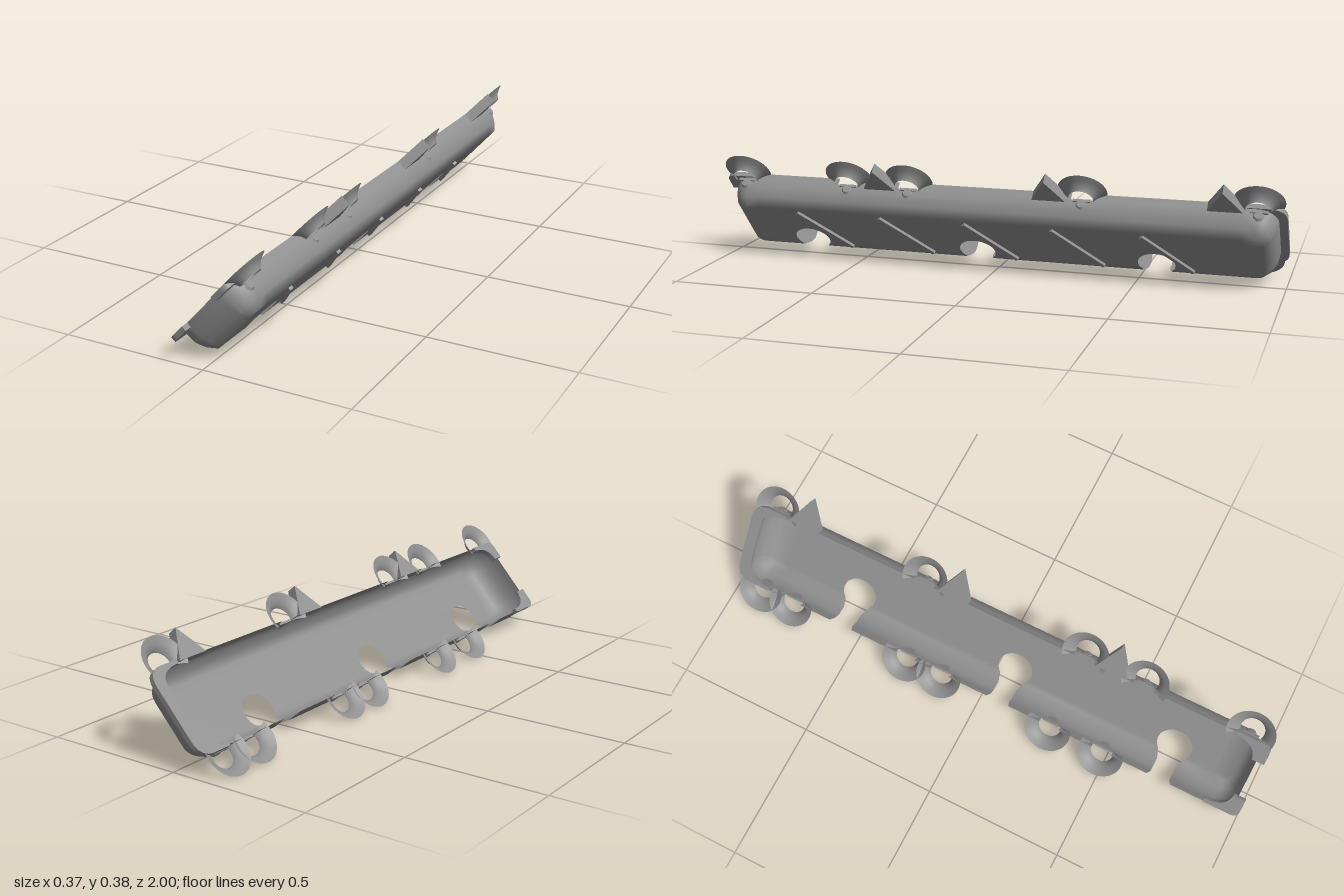
import * as THREE from 'three';
import { toCreasedNormals } from 'three/addons/utils/BufferGeometryUtils.js';

const material = new THREE.MeshStandardMaterial({ color: 0x909090, side: THREE.DoubleSide });

// Local frame of the tray: x across, y out of the opening, z along the length
const HALF = 0.151, DEPTH = 0.116, CAP = 0.86;
const KEYHOLES = [0.7, 0.072, -0.565];
const UPPER_RINGS = [0.915, 0.525, 0.3, -0.32, -0.91];
const LOWER_RINGS = [0.48, 0.275, -0.16, -0.3, -0.77, -0.895];

function add(parent, name, geometry, x = 0, y = 0, z = 0) {
  const mesh = new THREE.Mesh(geometry, material);
  mesh.name = name;
  mesh.position.set(x, y, z);
  parent.add(mesh);
  return mesh;
}

function quad(out, a, b, c, d) {
  out.push(...a, ...b, ...c, ...a, ...c, ...d);
}

// Flat plate drawn in x and z, hanging down from y = 0
function plate(shape, thickness) {
  const g = new THREE.ExtrudeGeometry(shape, { depth: thickness, bevelEnabled: false, curveSegments: 8 });
  return g.rotateX(Math.PI / 2);
}

// Walls and floor: strips along z, interrupted by keyholes and ring slots
function addWalls(out) {
  const floor = [0.109, 0.08, 0, -0.008, -0.01, -0.014, -0.022, -0.035, -0.05, -0.068, -0.09, -0.109];
  const rows = [[HALF, 0], [HALF, -0.025], [HALF, -0.06], [0.132, -0.089],
    ...floor.map(x => [x, -DEPTH]),
    [-0.132, -0.089], [-HALF, -0.06], [-HALF, -0.025], [-HALF, 0]];
  const keyHalf = ([x, y]) => {
    if (y > -0.01) return 0.045;
    if (y > -0.1) return 0.036;
    return 0.065 * Math.sqrt(Math.max(0, 1 - ((x + 0.068) / 0.06) ** 2));
  };
  for (let i = 0; i < rows.length - 1; i++) {
    const a = rows[i], b = rows[i + 1];
    const cuts = [];
    if (a[0] <= -0.008) KEYHOLES.forEach(z => cuts.push([z, keyHalf(a), keyHalf(b)]));
    if (Math.min(a[1], b[1]) > -0.03) {
      (a[0] > 0 ? UPPER_RINGS : LOWER_RINGS)
        .filter(z => Math.abs(z) < 0.82)
        .forEach(z => cuts.push([z, 0.038, 0.038]));
    }
    cuts.sort((p, q) => p[0] - q[0]);
    let za = -CAP, zb = -CAP;
    for (const [z, ha, hb] of [...cuts, [CAP, 0, 0]]) {
      quad(out, [...a, za], [...a, z - ha], [...b, z - hb], [...b, zb]);
      za = z + ha;
      zb = z + hb;
    }
  }
}

// Rounded end: stacked rounded outlines closed onto the floor (sign: 1 front, -1 back)
function addEnd(out, sign) {
  const outline = (y, w, end) => {
    const r = w - 0.08, side = [[w, y, CAP]];
    for (let k = 0; k <= 8; k++) {
      const t = k / 8 * Math.PI / 2;
      side.push([0.08 + r * Math.cos(t), y, end - r + r * Math.sin(t)]);
    }
    const points = [...side, ...side.map(([x, h, z]) => [-x, h, z]).reverse()];
    return points.map(([x, h, z]) => [x, h, z * sign]);
  };
  const levels = [outline(0, HALF, 0.972), outline(-0.025, HALF, 0.972), outline(-0.06, HALF, 0.967),
    outline(-0.089, 0.132, 0.955), outline(-DEPTH, 0.109, 0.93)];
  levels.push(levels[4].map(([x, y]) => [x, y, CAP * sign]));
  for (let i = 0; i < levels.length - 1; i++)
    for (let j = 0; j < levels[i].length - 1; j++) {
      const a = levels[i][j], b = levels[i][j + 1], c = levels[i + 1][j + 1], d = levels[i + 1][j];
      if (sign > 0) quad(out, a, d, c, b);
      else quad(out, a, b, c, d);
    }
}

// Whole trough as one smooth shell
function troughGeometry() {
  const out = [];
  addWalls(out);
  addEnd(out, 1);
  addEnd(out, -1);
  // face the shell outwards
  for (let i = 0; i < out.length; i += 9) {
    const n = new THREE.Triangle(...[0, 3, 6].map(k => new THREE.Vector3().fromArray(out, i + k)))
      .getNormal(new THREE.Vector3());
    const outward = n.x * out[i] + n.y * (out[i + 1] + 0.02) + n.z * Math.sign(out[i + 2]) * 0.1;
    if (outward < 0) {
      const b = out.slice(i + 3, i + 6);
      for (let k = 0; k < 3; k++) {
        out[i + 3 + k] = out[i + 6 + k];
        out[i + 6 + k] = b[k];
      }
    }
  }
  const g = new THREE.BufferGeometry();
  g.setAttribute('position', new THREE.Float32BufferAttribute(out, 3));
  return toCreasedNormals(g, 1);
}

// Flange around the closed back end
function backFlangeGeometry() {
  const s = new THREE.Shape();
  s.moveTo(0.155, -0.87);
  s.lineTo(0.155, -0.94);
  s.quadraticCurveTo(0.155, -1, 0.095, -1);
  s.lineTo(-0.095, -1);
  s.quadraticCurveTo(-0.155, -1, -0.155, -0.94);
  s.lineTo(-0.155, -0.87);
  s.lineTo(-0.142, -0.87);
  s.quadraticCurveTo(-0.142, -0.96, -0.08, -0.96);
  s.lineTo(0.08, -0.96);
  s.quadraticCurveTo(0.142, -0.96, 0.142, -0.87);
  return plate(s, 0.018);
}

// Corner tab beside the gap at the front end
function frontTabGeometry() {
  const s = new THREE.Shape();
  s.moveTo(0.14, 0.87);
  s.lineTo(0.155, 0.87);
  s.lineTo(0.155, 0.97);
  s.quadraticCurveTo(0.155, 1, 0.125, 1);
  s.lineTo(0.08, 1);
  s.lineTo(0.08, 0.955);
  s.quadraticCurveTo(0.14, 0.95, 0.14, 0.87);
  return plate(s, 0.018);
}

// Dished ring, open on the side that meets the wall
const ringProfile = [[0.042, -0.034], [0.046, -0.026], [0.055, -0.016], [0.068, -0.008], [0.085, 0]]
  .map(p => new THREE.Vector2(...p));
const ringGeometry = new THREE.LatheGeometry(ringProfile, 32, -0.44, Math.PI + 0.88);

export function createModel() {
  const model = new THREE.Group();
  model.name = 'cableTray';
  const tray = new THREE.Group();
  tray.name = 'tiltedTray';
  tray.position.set(-0.014, 0.188, 0);
  tray.rotation.z = 0.842;
  model.add(tray);

  add(tray, 'trough', troughGeometry());
  add(tray, 'backFlange', backFlangeGeometry());
  const tab = frontTabGeometry();
  add(tray, 'leftFrontTab', tab);
  add(tray, 'rightFrontTab', tab).scale.x = -1;

  // Slanted ribs under the floor
  const rib = new THREE.BoxGeometry(0.248, 0.01, 0.014);
  for (let k = 0; k < 5; k++)
    add(tray, 'rib', rib, 0, -DEPTH - 0.0055, 0.63 - 0.31 * k).rotation.y = -0.7;

  // Mounting rings with a peg on the wall below each one
  const peg = new THREE.CylinderGeometry(0.014, 0.02, 0.008, 12).rotateZ(-Math.PI / 2);
  const collar = new THREE.BoxGeometry(0.008, 0.01, 0.06);
  for (const [side, places] of [[1, UPPER_RINGS], [-1, LOWER_RINGS]])
    for (const z of places) {
      const mount = new THREE.Group();
      mount.name = 'ringMount';
      mount.position.z = z;
      mount.scale.x = side;
      add(mount, 'ring', ringGeometry, 0.168, 0, 0);
      add(mount, 'peg', peg, 0.152, -0.045, 0);
      add(mount, 'collar', collar, 0.151, -0.03, 0);
      tray.add(mount);
    }

  // Pointed tabs along the upper edge
  const point = new THREE.Shape();
  point.moveTo(0.148, -0.06);
  point.lineTo(0.253, 0);
  point.lineTo(0.148, 0.06);
  const pointGeometry = plate(point, 0.038);
  for (const z of [0.405, -0.205, -0.8]) add(tray, 'pointedTab', pointGeometry, 0, 0, z);

  return model;
}
